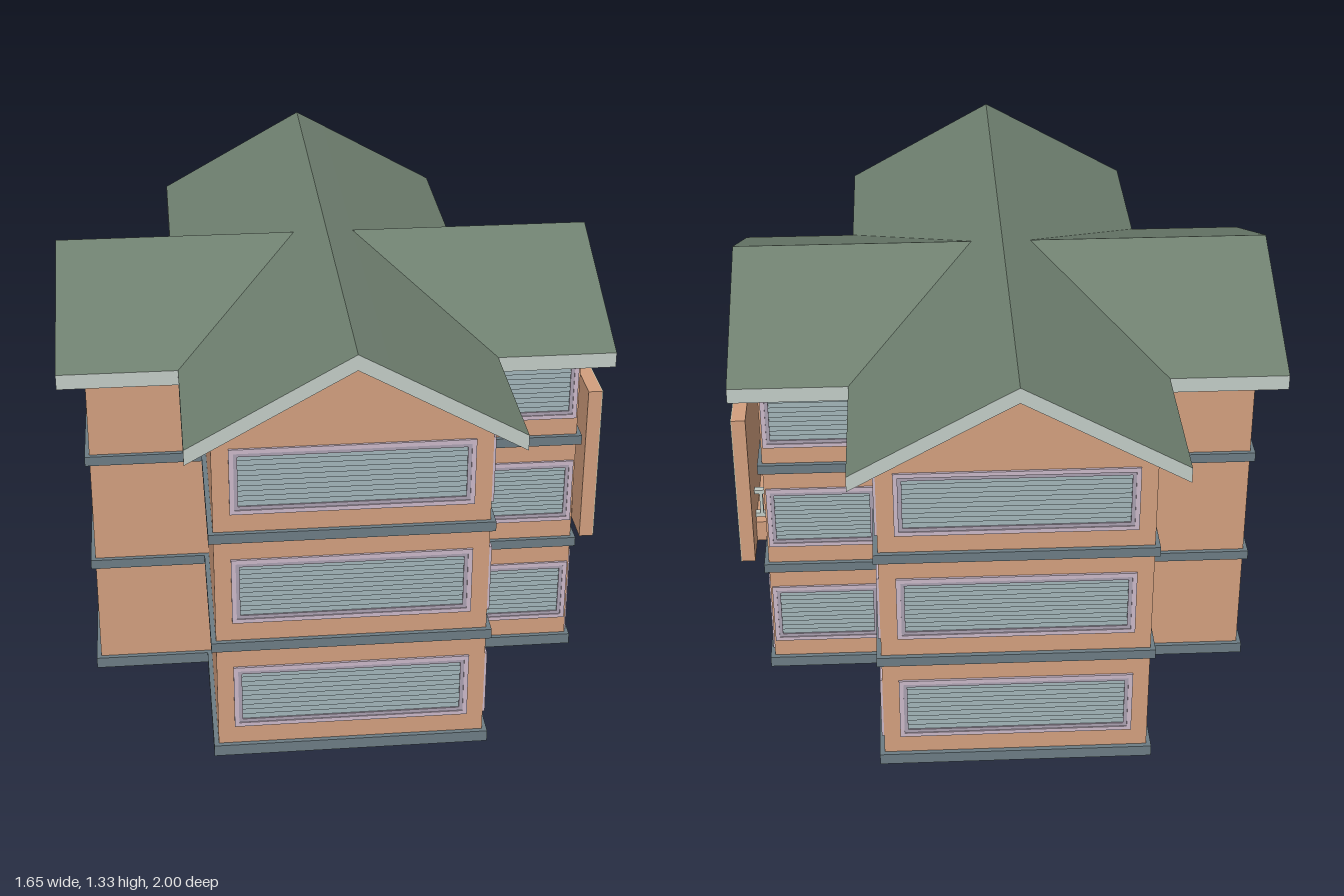
import * as THREE from 'three';

const mat = (color, side = THREE.FrontSide) => new THREE.MeshStandardMaterial({ color, side, flatShading: true });
const M = {
  wall: mat(0xd29f7e, THREE.DoubleSide),
  sign: mat(0xd29f7e),
  band: mat(0x6c7c84),
  frame: mat(0xcab8c8),
  inner: mat(0xaaa0b0),
  slat: mat(0x8fa0a4),
  door: mat(0xdfc6ac),
  roof: mat(0x6f8070, THREE.DoubleSide),
  trim: mat(0xc2ccc6, THREE.DoubleSide),
  board: mat(0xc6cebc),
};

function add(parent, name, geometry, material, x = 0, y = 0, z = 0) {
  const mesh = new THREE.Mesh(geometry, material);
  mesh.name = name;
  mesh.position.set(x, y, z);
  parent.add(mesh);
  return mesh;
}

const box = (parent, name, w, h, d, material, x, y, z) =>
  add(parent, name, new THREE.BoxGeometry(w, h, d), material, x, y, z);

// Rectangle points from corner to corner
const rect = (u0, y0, u1, y1) =>
  [[u0, y0], [u1, y0], [u1, y1], [u0, y1]].map(p => new THREE.Vector2(...p));

// Rectangular ring of the given border width and depth
function ring(parent, name, [u0, y0, u1, y1], border, depth, material) {
  const shape = new THREE.Shape(rect(u0, y0, u1, y1));
  shape.holes.push(new THREE.Path(rect(u0 + border, y0 + border, u1 - border, y1 - border)));
  add(parent, name, new THREE.ExtrudeGeometry(shape, { depth, bevelEnabled: false }), material);
}

// Framed opening filled with tilted slats
function louvre(parent, r, isDoor) {
  const g = new THREE.Group();
  g.name = isDoor ? 'shutterDoor' : 'louvredWindow';
  parent.add(g);
  ring(g, 'outerFrame', r, 0.013, 0.007, M.frame);
  const i = [r[0] + 0.013, r[1] + 0.013, r[2] - 0.013, r[3] - 0.013];
  ring(g, 'innerFrame', i, 0.011, 0.004, isDoor ? M.frame : M.inner);
  const [u0, y0, u1, y1] = [i[0] + 0.009, i[1] + 0.009, i[2] - 0.009, i[3] - 0.009];
  const n = Math.round((y1 - y0) / 0.0155), pitch = (y1 - y0) / n;
  for (let k = 0; k < n; k++) {
    const s = box(g, 'slat', u1 - u0, pitch * 1.15, 0.003, isDoor ? M.door : M.slat,
      (u0 + u1) / 2, y0 + (k + 0.5) * pitch, -0.006);
    s.rotation.x = -0.45;
  }
}

// Flat wall; peak is the gable height, openings are [u0, y0, u1, y1]
function wall(parent, name, half, peak, x, z, turn, windows = [], doors = []) {
  const g = new THREE.Group();
  g.name = name;
  g.position.set(x, 0, z);
  g.rotation.y = turn;
  parent.add(g);
  const pts = rect(-half, 0, half, 1.066);
  if (peak) pts.splice(3, 0, new THREE.Vector2(0, peak));
  const shape = new THREE.Shape(pts);
  for (const r of [...windows, ...doors])
    shape.holes.push(new THREE.Path(rect(r[0] + 0.022, r[1] + 0.022, r[2] - 0.022, r[3] - 0.022)));
  add(g, 'wallPanel', new THREE.ShapeGeometry(shape), M.wall);
  windows.forEach(r => louvre(g, r, false));
  doors.forEach(r => louvre(g, r, true));
}

// Cross-shaped footprint, grown outwards by d
function footprint(d) {
  const a = 0.39 + d, b = 0.40 + d, X = 0.737 + d, Z = 0.89 + d;
  return [[a, Z], [-a, Z], [-a, b], [-X, b], [-X, -b], [-a, -b],
    [-a, -Z], [a, -Z], [a, -b], [X, -b], [X, b], [a, b]].map(p => new THREE.Vector2(...p));
}

function quads(list) {
  const pos = [];
  for (const [a, b, c, d] of list) pos.push(...a, ...b, ...c, ...a, ...c, ...d);
  const geo = new THREE.BufferGeometry();
  geo.setAttribute('position', new THREE.Float32BufferAttribute(pos, 3));
  geo.computeVertexNormals();
  return geo;
}

// One roof arm pointing along +z; profile points are [across, height, inner end at the valley]
function roofArm(parent, name, profile, reach, turn) {
  const g = new THREE.Group();
  g.name = name;
  g.rotation.y = turn;
  parent.add(g);
  const t = 0.046;
  const out = ([s, y], drop = 0) => [s, y - drop, reach];
  const inn = ([s, y, e], drop = 0) => [s, y - drop, e];
  const top = [], trim = [];
  for (let i = 0; i + 1 < profile.length; i++) {
    const p = profile[i], q = profile[i + 1];
    top.push([out(p), out(q), inn(q), inn(p)]);
    trim.push([out(p, t), inn(p, t), inn(q, t), out(q, t)]);
    trim.push([out(p, t), out(q, t), out(q), out(p)]);
  }
  const p = profile[0], q = profile[profile.length - 1];
  trim.push([inn(p, t), out(p, t), out(p), inn(p)], [out(q, t), inn(q, t), inn(q), out(q)]);
  add(g, 'roofCovering', quads(top), M.roof);
  add(g, 'fasciaAndSoffit', quads(trim), M.trim);
}

export function createModel() {
  const model = new THREE.Group();
  model.name = 'building';
  const body = new THREE.Group();
  body.name = 'crossPlanBuilding';
  body.position.x = -0.011;
  model.add(body);

  // Windows repeat on three storeys
  const storeys = [[0.095, 0.30], [0.452, 0.66], [0.807, 1.01]];
  const rows = half => storeys.map(([a, b]) => [-half, a, half, b]);
  const R = Math.PI / 2;

  // Gable end walls
  wall(body, 'frontWall', 0.39, 1.284, 0, 0.89, 0, rows(0.342));
  wall(body, 'backWall', 0.39, 1.284, 0, -0.89, 2 * R, rows(0.342));
  wall(body, 'entranceWall', 0.40, 1.234, 0.737, 0, R, [[-0.245, 0.807, 0.242, 1.01]],
    [[-0.385, 0.037, -0.18, 0.33], [-0.145, 0.037, 0.365, 0.31]]);
  wall(body, 'blankSideWall', 0.40, 1.234, -0.737, 0, -R);

  // Inner corner walls: windowed on the entrance side, blank on the other
  for (const s of [1, -1]) {
    const turn = s > 0 ? 0 : 2 * R;
    wall(body, 'entranceWingWall', 0.1735, 0, 0.5635, s * 0.40, turn, rows(0.168));
    wall(body, 'longWingWall', 0.245, 0, 0.39, s * 0.645, R, rows(0.243));
    wall(body, 'blankWingWall', 0.1735, 0, -0.5635, s * 0.40, turn);
    wall(body, 'blankLongWingWall', 0.245, 0, -0.39, s * 0.645, -R);
  }

  // Base and floor bands
  for (const [y, h] of [[0, 0.035], [0.362, 0.03], [0.72, 0.03]]) {
    const shape = new THREE.Shape(footprint(0.014));
    shape.holes.push(new THREE.Path(footprint(-0.012)));
    const geo = new THREE.ExtrudeGeometry(shape, { depth: h, bevelEnabled: false }).rotateX(-R);
    add(body, 'floorBand', geo, M.band, 0, y, 0);
  }

  // Crossing gable roofs meeting at valleys
  const longRoof = [[-0.465, 1.07, 0.51], [-0.09, 1.28, 0], [0, 1.33, 0], [0.09, 1.28, 0], [0.465, 1.07, 0.51]];
  const crossRoof = [[-0.51, 1.07, 0.465], [0, 1.28, 0.09], [0.51, 1.07, 0.465]];
  for (const turn of [0, 2 * R]) {
    roofArm(body, 'longRoof', longRoof, 1, turn);
    roofArm(body, 'crossRoof', crossRoof, 0.815, turn + R);
  }

  // Blank sign box over the entrance with its supports
  box(body, 'signBox', 0.042, 0.51, 0.635, M.sign, 0.807, 0.595, 0.002);
  box(body, 'signFace', 0.003, 0.51, 0.635, M.board, 0.8295, 0.595, 0.002);
  box(body, 'signSupport', 0.05, 0.07, 0.4, M.sign, 0.762, 0.375, 0);
  for (const z of [-0.18, 0.18]) {
    for (const y of [0.43, 0.515]) box(body, 'signBracketBar', 0.05, 0.014, 0.02, M.trim, 0.762, y, z);
    for (const x of [0.745, 0.766]) box(body, 'signBracketPost', 0.01, 0.085, 0.02, M.trim, x, 0.472, z);
  }
  return model;
}
